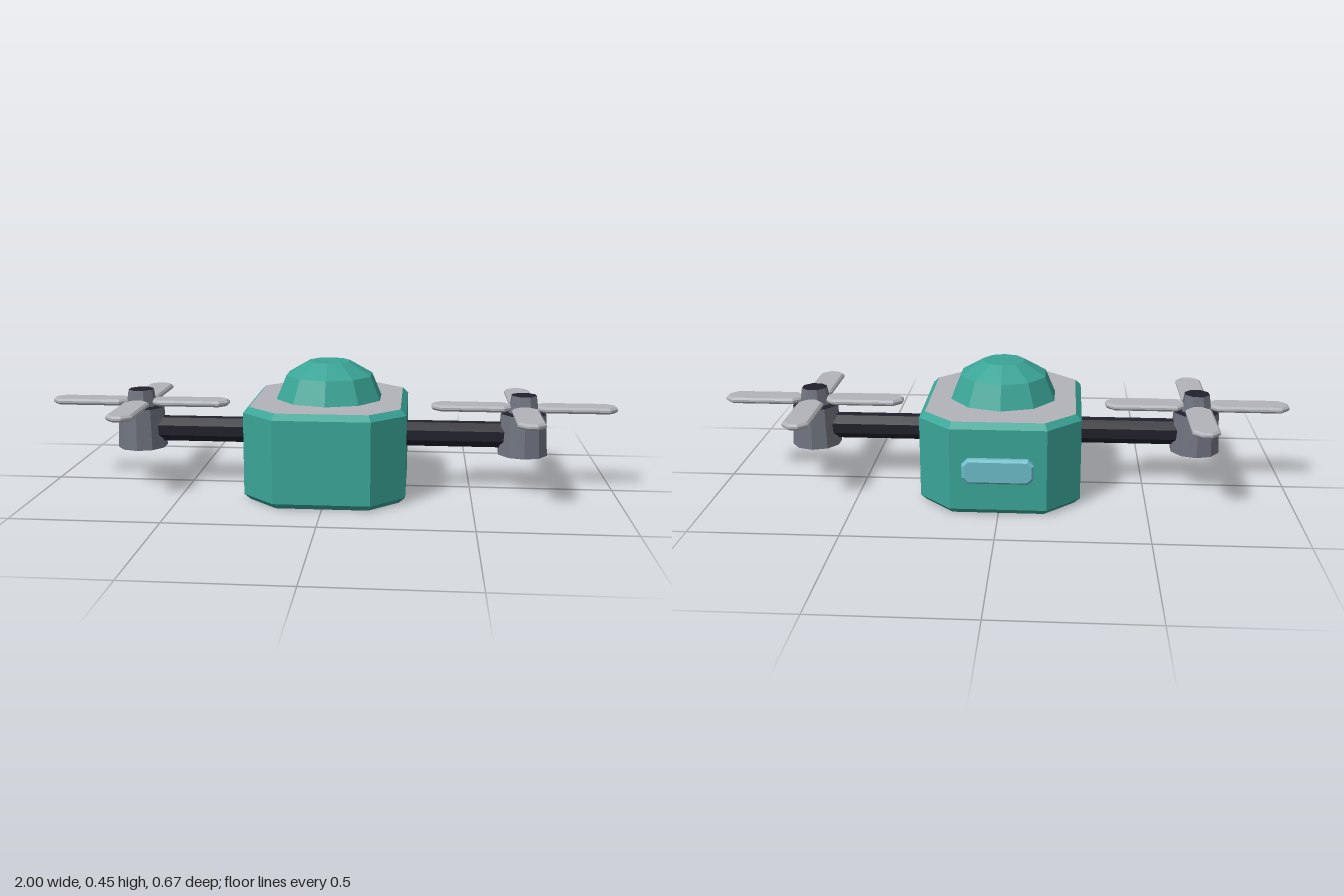
import * as THREE from 'three';

const paint = (name, color) => {
  const m = new THREE.MeshStandardMaterial({ color, flatShading: true });
  m.name = name;
  return m;
};

// Eight-sided plate lying flat: w along x, d along z, h up from y = 0, corners cut, rims bevelled
function chamferedPlate(w, d, h, cut, bevel) {
  const x = w / 2, z = d / 2;
  const shape = new THREE.Shape([
    [x, -z + cut], [x, z - cut], [x - cut, z], [-x + cut, z],
    [-x, z - cut], [-x, -z + cut], [-x + cut, -z], [x - cut, -z],
  ].map(([a, b]) => new THREE.Vector2(a, b)));
  const geo = new THREE.ExtrudeGeometry(shape, {
    depth: h - 2 * bevel, bevelEnabled: true, bevelSegments: 1,
    bevelSize: bevel, bevelThickness: bevel, bevelOffset: -bevel,
  });
  return geo.translate(0, 0, bevel).rotateX(-Math.PI / 2);
}

export function createModel() {
  const teal = paint('teal', 0x3aa597);
  const paleGrey = paint('paleGrey', 0xb1b4ba);
  const steel = paint('steel', 0x70747f);
  const black = paint('black', 0x20212b);
  const glass = paint('glass', 0x6bbcc8);

  const drone = new THREE.Group();
  drone.name = 'drone';
  drone.position.z = 0.012;

  const add = (parent, name, geo, mat, x = 0, y = 0, z = 0) => {
    const mesh = new THREE.Mesh(geo, mat);
    mesh.name = name;
    mesh.position.set(x, y, z);
    parent.add(mesh);
    return mesh;
  };

  // Body: the upper lid (second set of six triangles) is grey
  const bodyGeo = chamferedPlate(0.55, 0.643, 0.323, 0.113, 0.02);
  const total = bodyGeo.attributes.position.count;
  bodyGeo.clearGroups();
  bodyGeo.addGroup(0, 18, 0);
  bodyGeo.addGroup(18, 18, 1);
  bodyGeo.addGroup(36, total - 36, 0);
  add(drone, 'body', bodyGeo, [teal, paleGrey]);

  // Faceted dome
  const domeProfile = [[0.19, 0.323], [0.155, 0.405], [0.074, 0.452], [0, 0.452]]
    .map(([r, y]) => new THREE.Vector2(r, y));
  add(drone, 'dome', new THREE.LatheGeometry(domeProfile, 10), teal);

  // Rear lamp, standing on edge against the back wall
  const lampGeo = chamferedPlate(0.24, 0.086, 0.03, 0.02, 0.008).rotateX(-Math.PI / 2);
  add(drone, 'rearLamp', lampGeo, glass, 0, 0.162, -0.315);

  // Arm, motor and four-bladed rotor on each side
  const armGeo = new THREE.CylinderGeometry(0.046, 0.046, 0.38, 8)
    .rotateY(Math.PI / 8).rotateZ(Math.PI / 2);
  const motorGeo = new THREE.CylinderGeometry(0.08, 0.088, 0.145, 10);
  const hubGeo = new THREE.CylinderGeometry(0.045, 0.055, 0.06, 8).rotateY(Math.PI / 8);
  const bladeGeo = chamferedPlate(0.28, 0.092, 0.021, 0.03, 0.007).translate(0.18, 0, 0);

  for (const [side, s] of [['left', 1], ['right', -1]]) {
    add(drone, side + 'Arm', armGeo, black, s * 0.43, 0.198, 0);

    const unit = new THREE.Group();
    unit.name = side + 'Rotor';
    unit.position.x = s * 0.68;
    drone.add(unit);
    add(unit, 'motor', motorGeo, [steel, black, steel], 0, 0.2035, 0);
    add(unit, 'hub', hubGeo, [steel, black, steel], 0, 0.31, 0);
    for (let i = 0; i < 4; i++) {
      add(unit, 'blade', bladeGeo, paleGrey, 0, 0.285, 0).rotation.y = i * Math.PI / 2;
    }
  }

  const model = new THREE.Group();
  model.name = 'twinRotorDrone';
  model.add(drone);
  return model;
}
